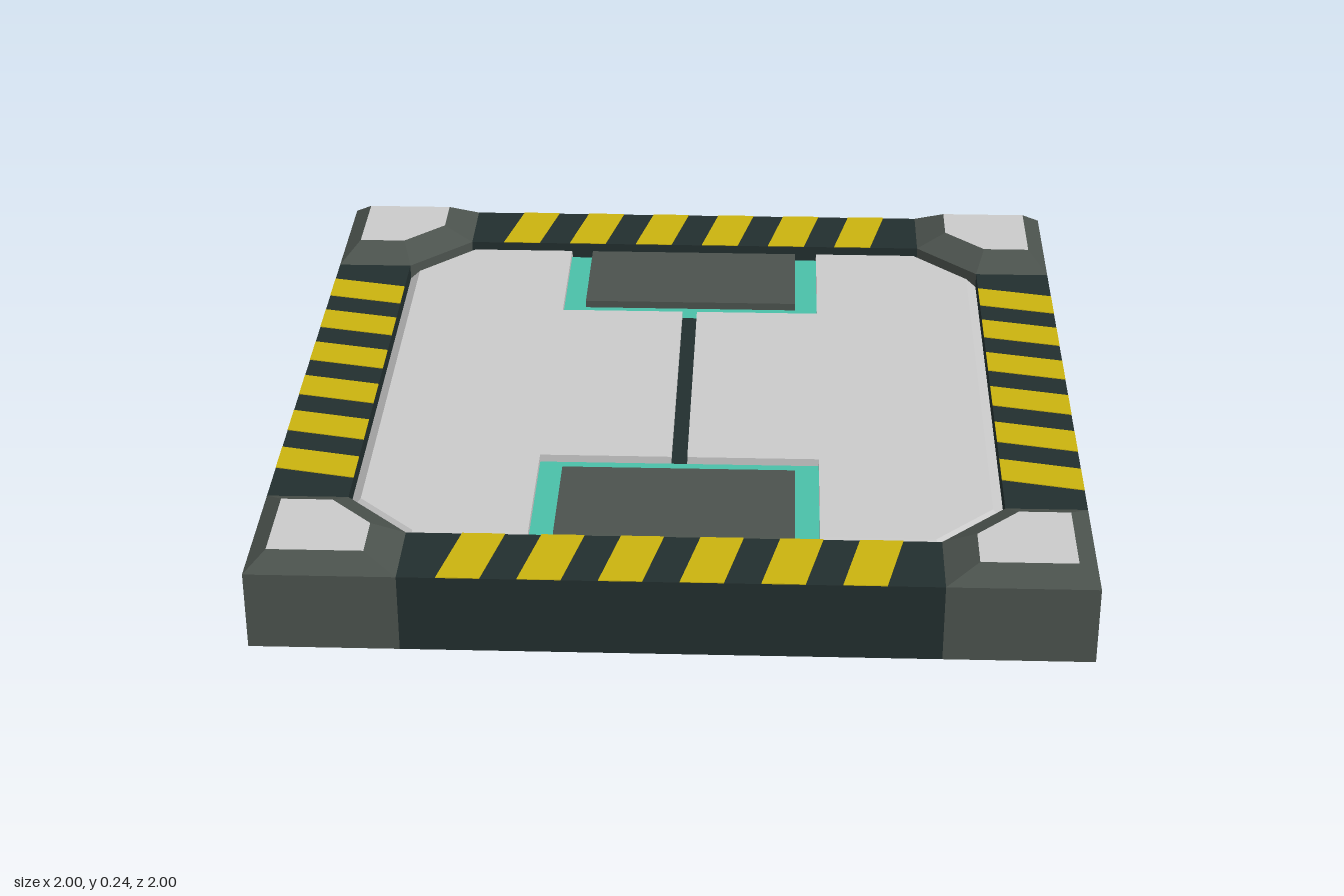
import * as THREE from 'three';

const mat = (name, color) => {
  const m = new THREE.MeshStandardMaterial({ color });
  m.name = name;
  return m;
};

// Flat-faced solid through stacked rings: each ring is [y, [[x, z], ...]].
// Group 0 is the sides and underside, group 1 the top cap.
function stack(rings) {
  const first = rings[0][1].map(([x, z]) => new THREE.Vector2(x, z));
  const flip = THREE.ShapeUtils.area(first) < 0;
  const loops = rings.map(([y, pts]) => {
    const loop = pts.map(([x, z]) => new THREE.Vector3(x, y, z));
    return flip ? loop.reverse() : loop;
  });
  const out = [];
  const tri = (...corners) => corners.forEach((v) => out.push(v.x, v.y, v.z));
  const cap = (loop, up) => {
    const flat = loop.map((v) => new THREE.Vector2(v.x, v.z));
    for (const [i, j, k] of THREE.ShapeUtils.triangulateShape(flat, [])) {
      const facesUp = THREE.ShapeUtils.area([flat[i], flat[j], flat[k]]) < 0;
      if (facesUp === up) tri(loop[i], loop[j], loop[k]);
      else tri(loop[i], loop[k], loop[j]);
    }
  };
  for (let r = 0; r < loops.length - 1; r++) {
    const lo = loops[r], hi = loops[r + 1];
    lo.forEach((a, i) => {
      const j = (i + 1) % lo.length;
      tri(a, hi[j], lo[j]);
      tri(a, hi[i], hi[j]);
    });
  }
  cap(loops[0], false);
  const split = out.length / 3;
  cap(loops[loops.length - 1], true);
  const geo = new THREE.BufferGeometry();
  geo.setAttribute('position', new THREE.Float32BufferAttribute(out, 3));
  geo.addGroup(0, split, 0);
  geo.addGroup(split, out.length / 3 - split, 1);
  geo.computeVertexNormals();
  return geo;
}

const rect = (x0, x1, z0, z1) => [[x0, z0], [x1, z0], [x1, z1], [x0, z1]];

export function createModel() {
  const light = mat('light grey', 0xcacaca);
  const grey = mat('dark grey', 0x4b524d);
  const dark = mat('blue black', 0x222e2e);
  const yellow = mat('yellow', 0xcab20f);
  const teal = mat('teal', 0x4abfa8);

  const model = new THREE.Group();
  model.name = 'floorTile';
  const add = (parent, name, geo, material) => {
    const mesh = new THREE.Mesh(geo, material);
    mesh.name = name;
    parent.add(mesh);
  };

  // Four identical quarters: a frame side with hazard stripes and a corner block
  for (let q = 0; q < 4; q++) {
    const quarter = new THREE.Group();
    quarter.name = 'frameQuarter';
    quarter.rotation.y = q * Math.PI / 2;
    model.add(quarter);

    add(quarter, 'frameSide', stack([
      [0, rect(-0.64, 0.64, 0.8, 1)], [0.2, rect(-0.64, 0.64, 0.8, 1)],
    ]), dark);

    for (let i = 0; i < 6; i++) {
      const x = -0.475 + 0.19 * i;
      const slant = [[x - 0.03, 0.8], [x + 0.073, 0.8], [x + 0.03, 1], [x - 0.073, 1]];
      add(quarter, 'hazardStripe', stack([[0.2, slant], [0.202, slant]]), yellow);
    }

    const foot = [[1, 1], [0.64, 1], [0.64, 0.8], [0.8, 0.64], [1, 0.64]];
    const crown = [[0.95, 0.95], [0.72, 0.95], [0.72, 0.825], [0.825, 0.72], [0.95, 0.72]];
    add(quarter, 'cornerBlock', stack([[0, foot], [0.2, foot], [0.24, crown]]), [grey, light]);
  }

  // Solid base under the panel
  const octagon = [[0.8, 0.64], [0.64, 0.8], [-0.64, 0.8], [-0.8, 0.64],
    [-0.8, -0.64], [-0.64, -0.8], [0.64, -0.8], [0.8, -0.64]];
  add(model, 'panelBase', stack([[0, octagon], [0.14, octagon]]), light);

  // Half panel outline, with its outer rim at r and notches for the pads
  const half = (r, c) => [[0.02, -0.4], [0.35, -0.4], [0.35, -r], [c, -r], [r, -c],
    [r, c], [c, r], [0.35, r], [0.35, 0.4], [0.02, 0.4]];
  for (let s = 0; s < 2; s++) {
    const side = new THREE.Group();
    side.name = 'panelSide';
    side.rotation.y = s * Math.PI;
    model.add(side);
    add(side, 'panelHalf', stack([
      [0.14, half(0.8, 0.64)], [0.16, half(0.8, 0.64)], [0.19, half(0.772, 0.628)],
    ]), light);
    // Teal channel floor around a raised pad
    add(side, 'tealChannel', stack([
      [0.14, rect(-0.35, 0.35, 0.4, 0.8)], [0.17, rect(-0.35, 0.35, 0.4, 0.772)],
    ]), teal);
    add(side, 'pad', stack([
      [0.14, rect(-0.29, 0.29, 0.457, 0.8)], [0.16, rect(-0.29, 0.29, 0.457, 0.8)],
      [0.19, rect(-0.29, 0.29, 0.457, 0.772)],
    ]), grey);
  }

  // Dark seam between the panel halves
  add(model, 'centreSeam', stack([
    [0.14, rect(-0.02, 0.02, -0.4, 0.4)], [0.17, rect(-0.02, 0.02, -0.4, 0.4)],
  ]), dark);

  return model;
}
